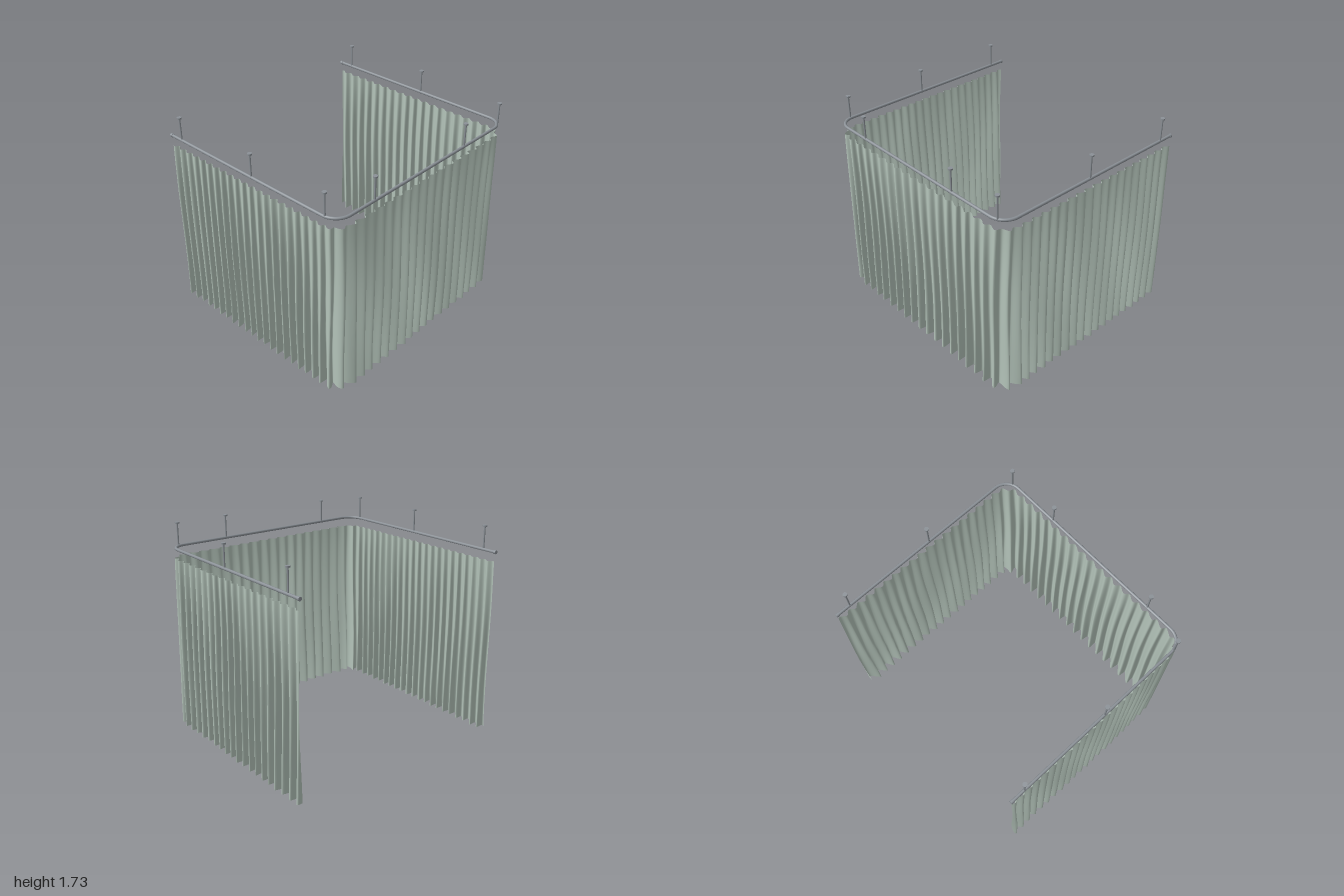
import * as THREE from 'three';

const X = 0.955, BACK = -0.885, FRONT = 0.855, R = 0.13;
const SIDE = FRONT - R - BACK, ARC = R * Math.PI / 2, WIDE = 2 * (X - R);
const TOTAL = 2 * SIDE + 2 * ARC + WIDE;
const RAIL_Y = 1.535, TOP = 1.455;

// Point and heading on the U-shaped track at arc length s
function track(s) {
  if (s > TOTAL / 2) {
    const m = track(TOTAL - s);
    return { x: -m.x, z: m.z, tx: m.tx, tz: -m.tz };
  }
  if (s < SIDE) return { x: -X, z: BACK + s, tx: 0, tz: 1 };
  if (s < SIDE + ARC) {
    const a = (s - SIDE) / R;
    return { x: -X + R - R * Math.cos(a), z: FRONT - R + R * Math.sin(a), tx: Math.sin(a), tz: Math.cos(a) };
  }
  return { x: -X + R + s - SIDE - ARC, z: FRONT, tx: 1, tz: 0 };
}

class TrackCurve extends THREE.Curve {
  getPoint(t, target = new THREE.Vector3()) {
    const p = track(t * TOTAL);
    return target.set(p.x, RAIL_Y, p.z);
  }
}

// Pleated sheet: folds deepen and lean over towards the hem
function curtainGeometry() {
  const cols = 760, rows = 18, pos = [], index = [];
  let phase = 0;
  for (let i = 0; i <= cols; i++) {
    const s = TOTAL * i / cols, p = track(s);
    const pitch = s < SIDE + ARC / 2 ? 0.078 : s < TOTAL - SIDE - ARC / 2 ? 0.0975 : 0.088;
    phase += 2 * Math.PI * (TOTAL / cols) / pitch;
    const vary = 1 + 0.12 * Math.sin(s * 7.3) * Math.sin(s * 17.1 + 1);
    for (let j = 0; j <= rows; j++) {
      const v = j / rows, down = 1 - v;
      const amp = (0.014 + 0.022 * Math.pow(down, 0.8)) * vary;
      const sway = 0.9 * v + 0.35 * Math.sin(v * 6.3 + s * 2.1);
      const a = phase - sway;
      const out = amp * (Math.sin(a) + 0.1 * Math.sin(2 * a + s * 5));
      const lean = (0.4 + 0.12 * Math.sin(s * 11 + v * 5)) * out;
      const hem = 0.004 + 0.004 * Math.sin(phase * 0.5);
      pos.push(
        p.x + p.tx * lean - p.tz * out,
        hem + (TOP - hem) * v,
        p.z + p.tz * lean + p.tx * out);
      if (i < cols && j < rows) {
        const k = i * (rows + 1) + j, n = k + rows + 1;
        index.push(k, n, n + 1, k, n + 1, k + 1);
      }
    }
  }
  const g = new THREE.BufferGeometry();
  g.setAttribute('position', new THREE.Float32BufferAttribute(pos, 3));
  g.setIndex(index);
  g.computeVertexNormals();
  return g;
}

export function createModel() {
  const fabric = new THREE.MeshStandardMaterial({ color: 0xb4c4ba, side: THREE.DoubleSide });
  fabric.name = 'sage fabric';
  const metal = new THREE.MeshStandardMaterial({ color: 0x8b9197 });
  metal.name = 'grey metal';

  const model = new THREE.Group();
  model.name = 'curtainTrack';
  const add = (parent, geometry, material, name, x = 0, y = 0, z = 0) => {
    const m = new THREE.Mesh(geometry, material);
    m.name = name;
    m.position.set(x, y, z);
    parent.add(m);
    return m;
  };

  add(model, curtainGeometry(), fabric, 'curtain');
  add(model, new THREE.TubeGeometry(new TrackCurve(), 220, 0.012, 10), metal, 'rail');

  // Stoppers on the open ends of the rail
  const stopGeo = new THREE.CylinderGeometry(0.015, 0.015, 0.022, 16);
  stopGeo.rotateX(Math.PI / 2);
  for (const side of [-1, 1]) add(model, stopGeo, metal, 'railStop', side * X, RAIL_Y, BACK);

  // Ceiling hangers: thin rod with a flat mounting disc
  const rodGeo = new THREE.CylinderGeometry(0.007, 0.007, 0.19, 10);
  const discGeo = new THREE.CylinderGeometry(0.018, 0.018, 0.012, 18);
  const spots = [[-X, -0.765], [-X, 0.025], [-X, 0.745], [-0.585, FRONT],
    [0.43, FRONT], [0.885, 0.845], [X, 0.025], [X, -0.765]];
  for (const [x, z] of spots) {
    const hanger = new THREE.Group();
    hanger.name = 'hanger';
    hanger.position.set(x, 0, z);
    add(hanger, rodGeo, metal, 'hangerRod', 0, 1.63, 0);
    add(hanger, discGeo, metal, 'ceilingDisc', 0, 1.724, 0);
    model.add(hanger);
  }
  return model;
}
